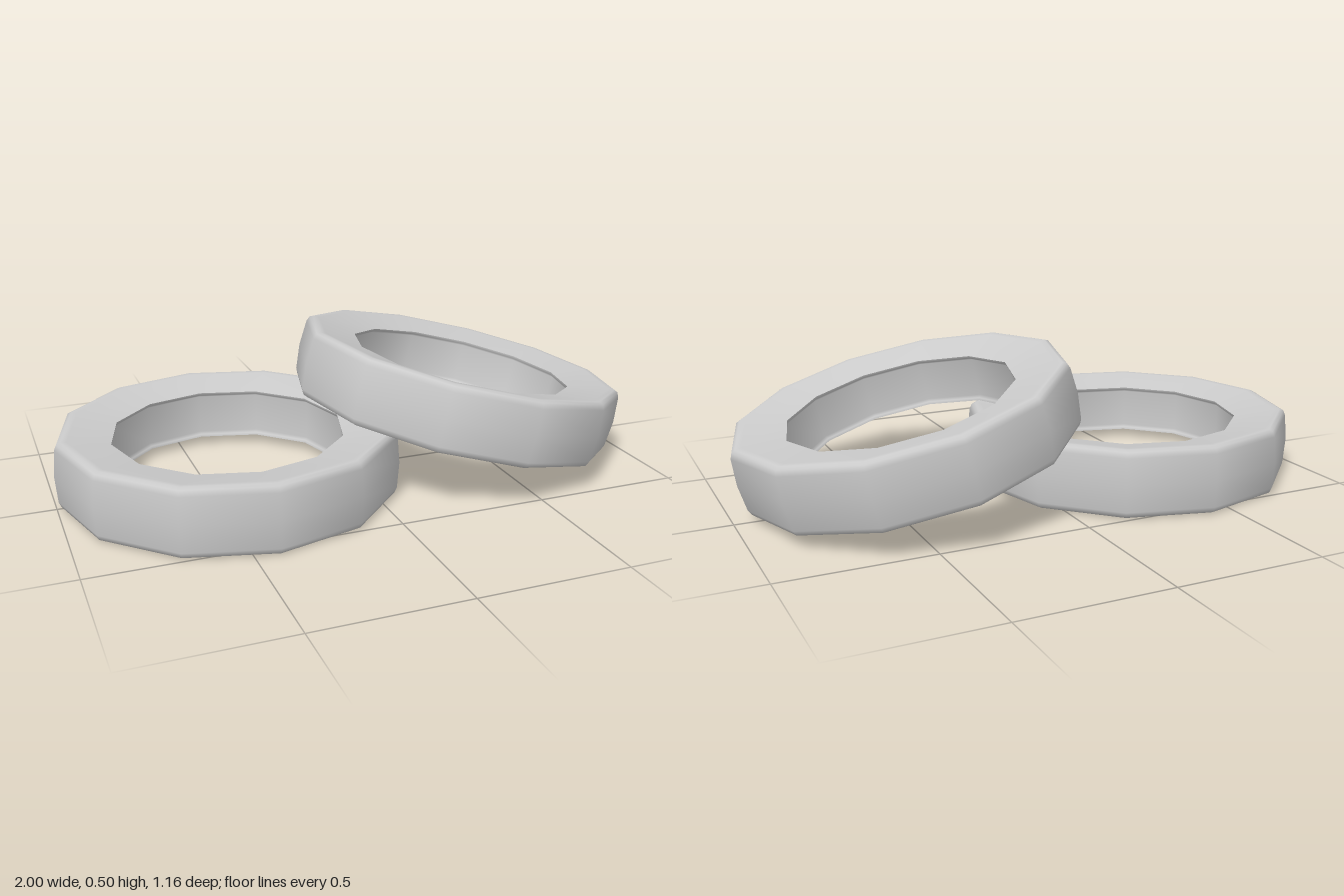
import * as THREE from 'three';

const SIDES = 12;
const material = new THREE.MeshStandardMaterial({ color: 0xcccccc });

// Revolve a half profile [radius, height] mirrored about the ring's mid-plane
function revolve(name, half) {
  const mirrored = half.slice().reverse().filter(([, y]) => y !== 0).map(([r, y]) => [r, -y]);
  const points = [...half, ...mirrored].map(([r, y]) => new THREE.Vector2(r, y));
  const mesh = new THREE.Mesh(new THREE.LatheGeometry(points, SIDES), material);
  mesh.name = name;
  return mesh;
}

function makeRing(name) {
  const ring = new THREE.Group();
  ring.name = name;
  // Sloping faces, softened rims and slightly bulging outer wall, bottom to top
  ring.add(revolve('outerShell', [
    [0.39, -0.085], [0.53, -0.113], [0.55, -0.114], [0.563, -0.108], [0.571, -0.09], [0.578, 0],
  ]));
  // Hole wall, slightly recessed behind a small lip at each end, top to bottom
  ring.add(revolve('innerWall', [[0.39, 0.085], [0.392, 0.076], [0.402, 0.068]]));
  return ring;
}

export function createModel() {
  const model = new THREE.Group();
  model.name = 'ringPair';

  // Ring lying flat
  const flat = makeRing('flatRing');
  flat.position.set(-0.422, 0.114, 0);

  // Ring leaning on the edge of the flat one
  const leaning = makeRing('leaningRing');
  leaning.position.set(0.419, 0.261, 0);
  leaning.rotation.z = -0.235;

  model.add(flat, leaning);
  return model;
}
